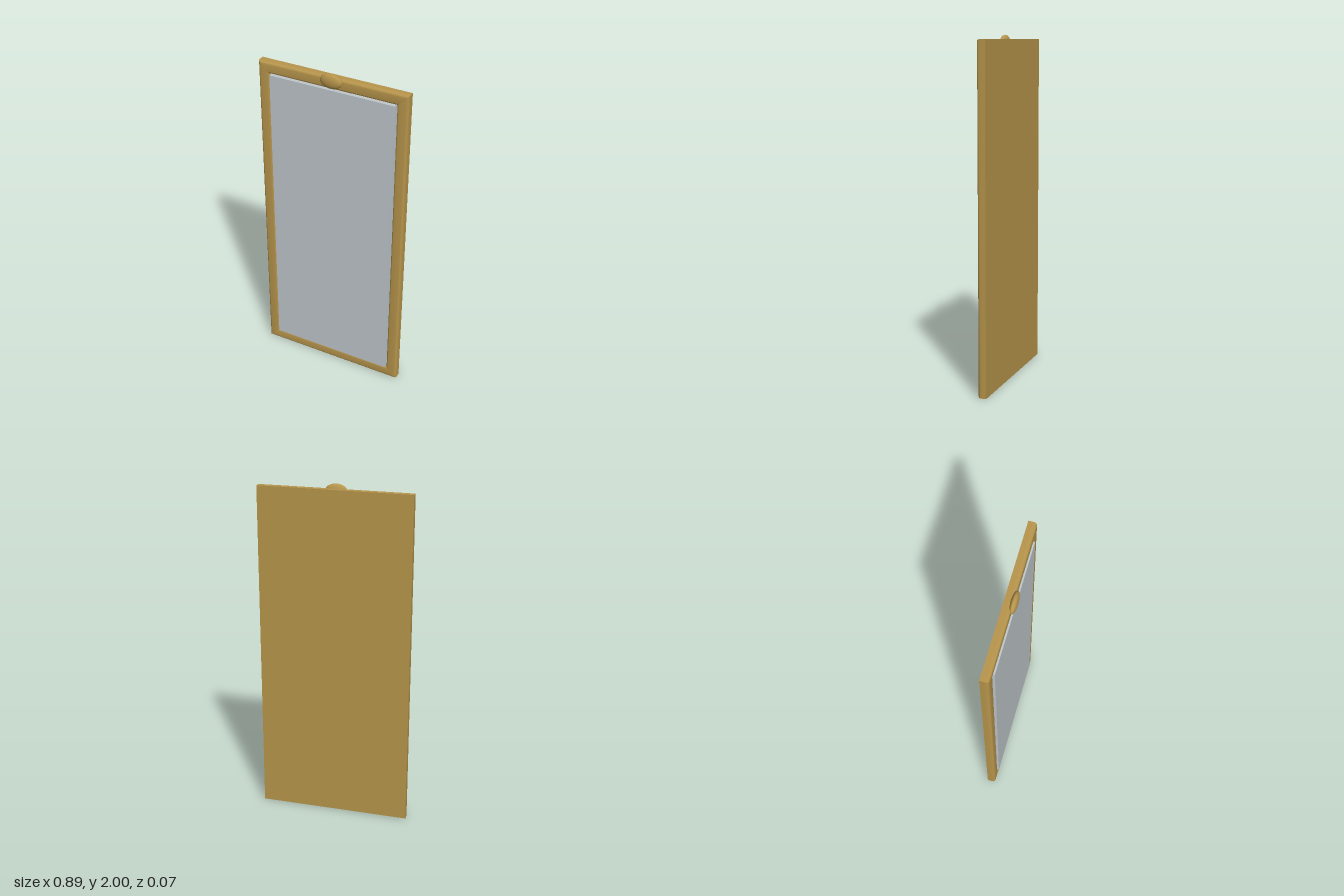
import * as THREE from 'three';

const gold = new THREE.MeshStandardMaterial({ color: 0xb8964c });
gold.name = 'gold';
const glass = new THREE.MeshStandardMaterial({ color: 0xc0c8cc });
glass.name = 'silver glass';

const HALF_W = 0.447, HEIGHT = 1.975, BACK = -0.036, SEAM = -0.015;

// moulding cross-section: [distance in from the outer edge, z]
const PROFILE = [
  [0, SEAM], [0, 0], [0.004, 0.009], [0.013, 0.013],
  [0.054, 0.013], [0.063, 0.009], [0.067, 0], [0.068, SEAM],
];

// one mitred side of the frame, centred on its own origin with the outer edge at y = reach
function mouldingGeometry(halfLength, reach) {
  const positions = [], index = [];
  for (const [inset, z] of PROFILE) {
    positions.push(-halfLength + inset, reach - inset, z, halfLength - inset, reach - inset, z);
  }
  for (let i = 0; i < PROFILE.length - 1; i++) {
    const a = i * 2;
    index.push(a, a + 2, a + 1, a + 1, a + 2, a + 3);
  }
  const geometry = new THREE.BufferGeometry();
  geometry.setAttribute('position', new THREE.Float32BufferAttribute(positions, 3));
  geometry.setIndex(index);
  geometry.computeVertexNormals();
  return geometry;
}

export function createModel() {
  const group = new THREE.Group();
  group.name = 'wallMirror';
  const add = (name, geometry, material, x, y, z) => {
    const mesh = new THREE.Mesh(geometry, material);
    mesh.name = name;
    mesh.position.set(x, y, z);
    group.add(mesh);
    return mesh;
  };

  // solid back board
  add('backBoard', new THREE.BoxGeometry(HALF_W * 2, HEIGHT, SEAM - BACK), gold,
    0, HEIGHT / 2, (SEAM + BACK) / 2);

  // four rounded frame sides
  ['topRail', 'leftStile', 'bottomRail', 'rightStile'].forEach((name, i) => {
    const [length, reach] = i % 2 ? [HEIGHT / 2, HALF_W] : [HALF_W, HEIGHT / 2];
    add(name, mouldingGeometry(length, reach), gold, 0, HEIGHT / 2, 0).rotation.z = -i * Math.PI / 2;
  });

  // mirror pane standing slightly proud of the frame
  add('mirrorPane', new THREE.BoxGeometry(0.75, 1.835, 0.035), glass, 0, HEIGHT / 2, 0.0035);

  // oval ornament on the top rail
  add('ornament', new THREE.SphereGeometry(1, 24, 16), gold, 0, 1.957, 0.0155)
    .scale.set(0.065, 0.043, 0.0205);

  return group;
}
